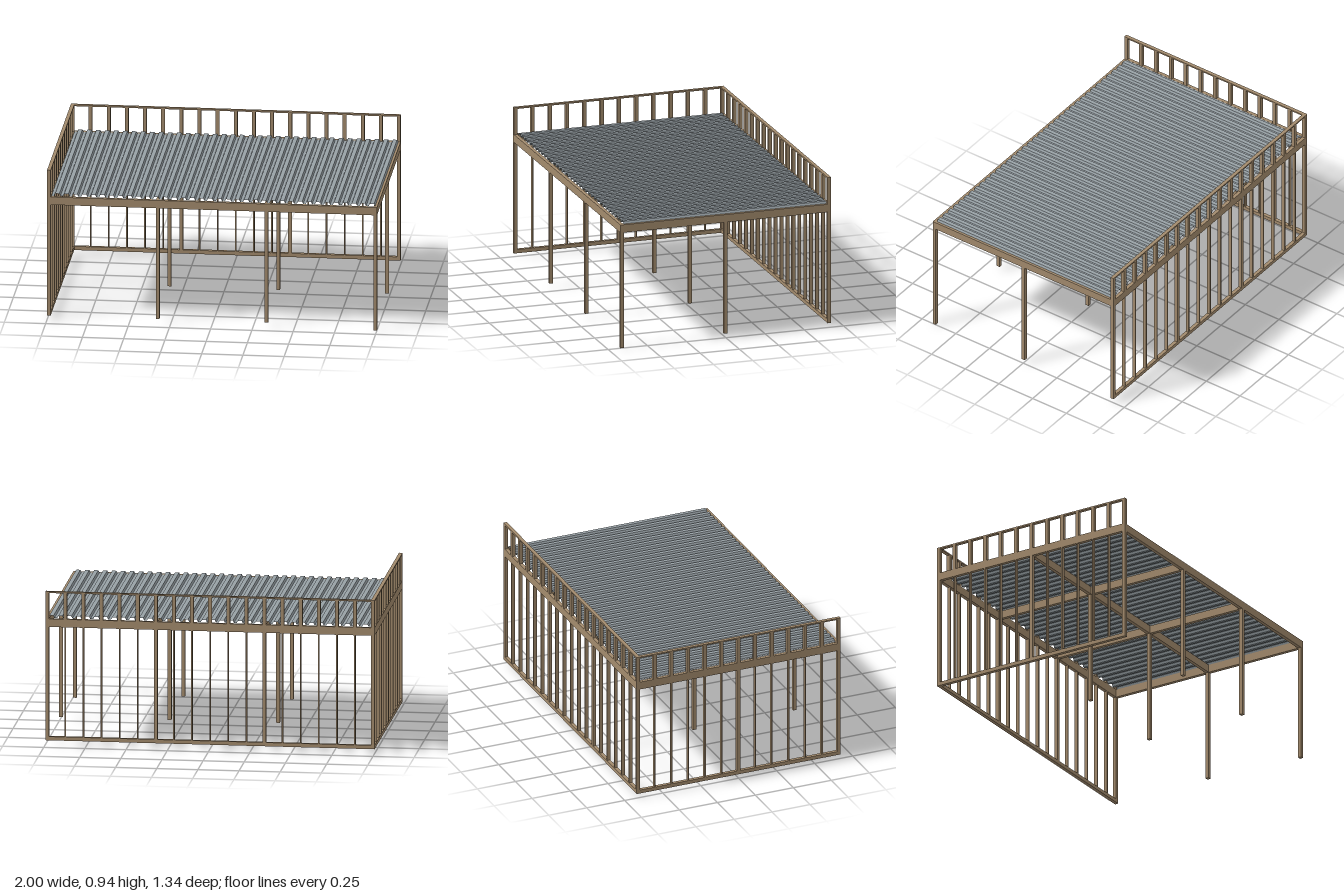
import * as THREE from 'three';

const timber = new THREE.MeshStandardMaterial({ color: 0xa38b6d });
timber.name = 'timber';
const steel = new THREE.MeshStandardMaterial({ color: 0x98a1a6, side: THREE.DoubleSide });
steel.name = 'deckSteel';

// Main dimensions
const X = 0.989, Z = 0.66;              // centre lines of the outer frame
const W = 0.022, THIN = 0.008;          // timber width and stud thickness
const FOOT = 0.027, SILL = 0.05;        // bottom rail
const BEAM0 = 0.727, BEAM1 = 0.776;     // floor beams
const RAIL0 = 0.936, TOP = 0.945;       // handrail
const BAY = 0.11;                       // stud spacing

// Box given by its centre on the ground plan and its y range
function timberBox(parent, name, x, z, y0, y1, w, d) {
  const mesh = new THREE.Mesh(new THREE.BoxGeometry(w, y1 - y0, d), timber);
  mesh.name = name;
  mesh.position.set(x, (y0 + y1) / 2, z);
  parent.add(mesh);
}

// Trapezoidal corrugated sheet running front to back
function corrugatedDeck() {
  const ribs = 36, x0 = -0.976, x1 = 0.986, z0 = -0.646, z1 = 0.648;
  const low = BEAM1 + 0.001, high = 0.791, pitch = (x1 - x0) / ribs;
  const rib = [[0, low], [0.3, low], [0.42, high], [0.88, high]];
  const profile = [];
  for (let i = 0; i < ribs; i++) {
    for (const [t, y] of rib) profile.push([x0 + (i + t) * pitch, y]);
  }
  profile.push([x1, low]);
  const pos = [];
  for (let i = 0; i < profile.length - 1; i++) {
    const [ax, ay] = profile[i], [bx, by] = profile[i + 1];
    pos.push(ax, ay, z0, ax, ay, z1, bx, by, z1);
    pos.push(ax, ay, z0, bx, by, z1, bx, by, z0);
  }
  const geo = new THREE.BufferGeometry();
  geo.setAttribute('position', new THREE.Float32BufferAttribute(pos, 3));
  geo.computeVertexNormals();
  const mesh = new THREE.Mesh(geo, steel);
  mesh.name = 'corrugatedDeck';
  return mesh;
}

export function createModel() {
  const model = new THREE.Group();
  model.name = 'raisedDeck';
  const addGroup = (name) => {
    const g = new THREE.Group();
    g.name = name;
    model.add(g);
    return g;
  };

  // Posts on a 4 by 3 grid; the walled corners rise to the handrail
  const posts = addGroup('posts');
  for (const x of [-X, -X / 3, X / 3, X]) {
    for (const z of [-Z, 0, Z]) {
      const openCorner = x === X && z === Z;
      const walledCorner = Math.abs(x) === X && Math.abs(z) === Z && !openCorner;
      timberBox(posts, 'post', x, z, openCorner ? 0 : FOOT, walledCorner ? TOP : BEAM0, W, W);
    }
  }

  // Floor beams in both directions
  const beams = addGroup('floorBeams');
  for (const z of [-Z, 0, Z]) timberBox(beams, 'longBeam', 0, z, BEAM0, BEAM1, 2 * X + W, W);
  for (const x of [-X, -X / 3, X / 3, X]) {
    timberBox(beams, 'crossBeam', x, 0, BEAM0, BEAM1, W, 2 * Z + W);
  }

  model.add(corrugatedDeck());

  // Back wall: sill, studs, balusters and handrail
  const back = addGroup('backWall');
  timberBox(back, 'sill', 0, -Z, FOOT, SILL, 2 * X, W);
  timberBox(back, 'handrail', 0, -Z, RAIL0, TOP, 2 * X, W);
  for (let i = -8; i <= 8; i++) {
    const x = i * BAY;
    if (Math.abs(i) !== 3) timberBox(back, 'stud', x, -Z, SILL, BEAM0, THIN, W);
    timberBox(back, 'baluster', x, -Z, BEAM1, RAIL0, W, W);
  }

  // Right-hand side wall, built the same way
  const side = addGroup('sideWall');
  timberBox(side, 'sill', -X, 0, FOOT, SILL, W, 2 * Z);
  timberBox(side, 'handrail', -X, 0, RAIL0, TOP, W, 2 * Z);
  for (let i = -5; i <= 5; i++) {
    const z = i * BAY;
    if (i !== 0) timberBox(side, 'stud', -X, z, SILL, BEAM0, W, THIN);
    timberBox(side, 'baluster', -X, z, BEAM1, RAIL0, W, W);
  }

  return model;
}
